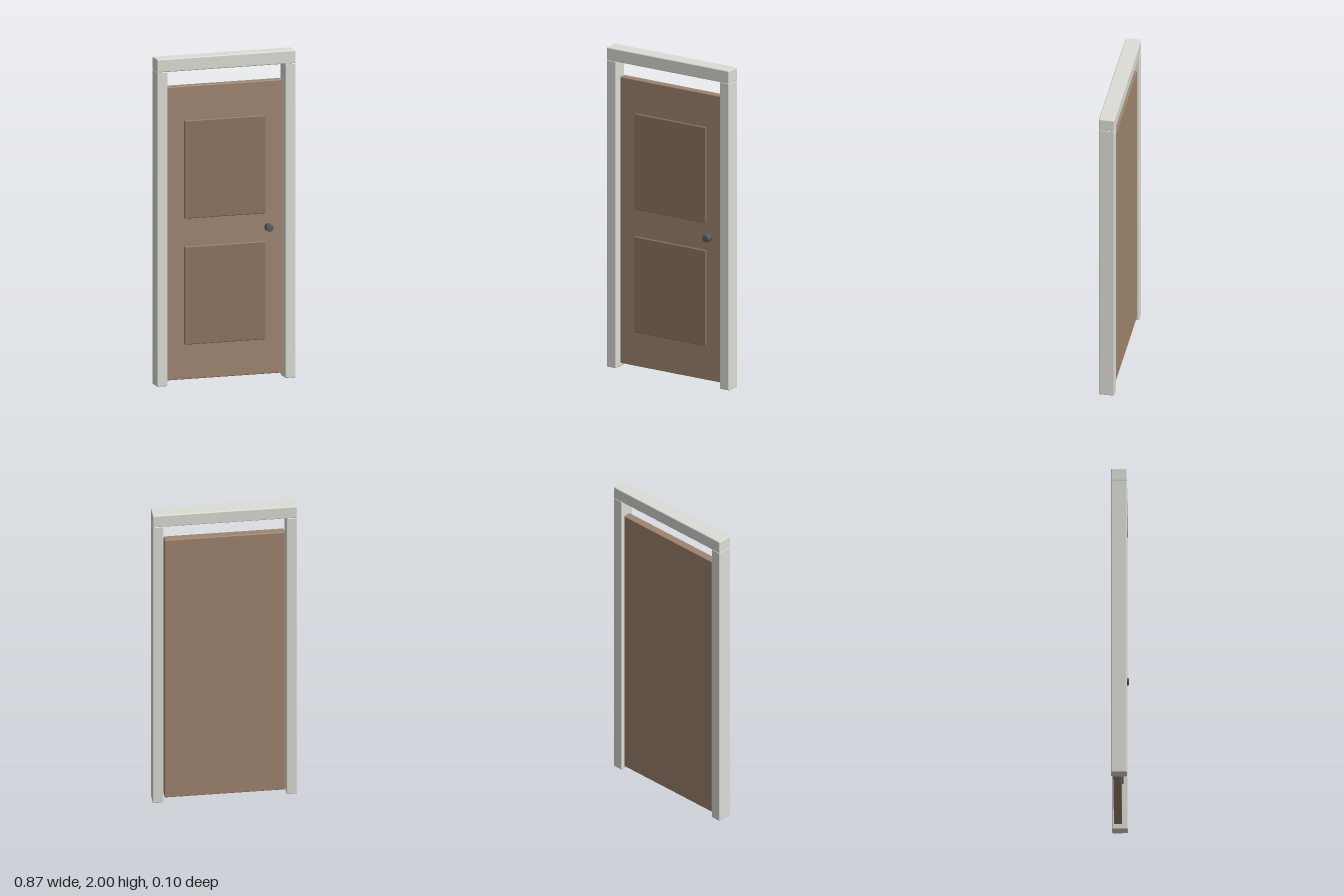
import * as THREE from 'three';
import { RoundedBoxGeometry } from 'three/addons/geometries/RoundedBoxGeometry.js';

const frameMat = new THREE.MeshStandardMaterial({ color: 0xdcddd6 });
const doorMat = new THREE.MeshStandardMaterial({ color: 0xa08570 });
const panelMat = new THREE.MeshStandardMaterial({ color: 0x8c7460 });
const knobMat = new THREE.MeshStandardMaterial({ color: 0x5a5c62 });

// Box with softened edges, given by its extents on each axis
function slab(name, [x0, x1], [y0, y1], [z0, z1], material, radius = 0.006) {
  const geometry = new RoundedBoxGeometry(x1 - x0, y1 - y0, z1 - z0, 2, radius);
  const mesh = new THREE.Mesh(geometry, material);
  mesh.position.set((x0 + x1) / 2, (y0 + y1) / 2, (z0 + z1) / 2);
  mesh.name = name;
  return mesh;
}

export function createModel() {
  const group = new THREE.Group();
  group.name = 'door';

  // Frame: two posts carrying a head beam
  const depth = [-0.051, 0.044];
  group.add(
    slab('leftPost', [0.37, 0.435], [0, 1.922], depth, frameMat),
    slab('rightPost', [-0.435, -0.37], [0, 1.922], depth, frameMat),
    slab('headBeam', [-0.435, 0.435], [1.92, 2], depth, frameMat),
  );

  // Door leaf, with two raised panels on the front only
  group.add(slab('doorLeaf', [-0.362, 0.362], [0.027, 1.82], [-0.039, 0.01], doorMat));
  group.add(slab('upperPanel', [-0.255, 0.255], [1.01, 1.61], [-0.01, 0.02], panelMat));
  group.add(slab('lowerPanel', [-0.255, 0.255], [0.24, 0.84], [-0.01, 0.02], panelMat));

  // Round knob with a chamfered rim
  const profile = [[0, 0], [0.023, 0], [0.023, 0.039], [0.019, 0.043], [0, 0.043]]
    .map(([r, h]) => new THREE.Vector2(r, h));
  const knob = new THREE.Mesh(new THREE.LatheGeometry(profile, 24), knobMat);
  knob.rotation.x = Math.PI / 2;
  knob.position.set(0.272, 0.925, 0.008);
  knob.name = 'knob';
  group.add(knob);

  return group;
}
